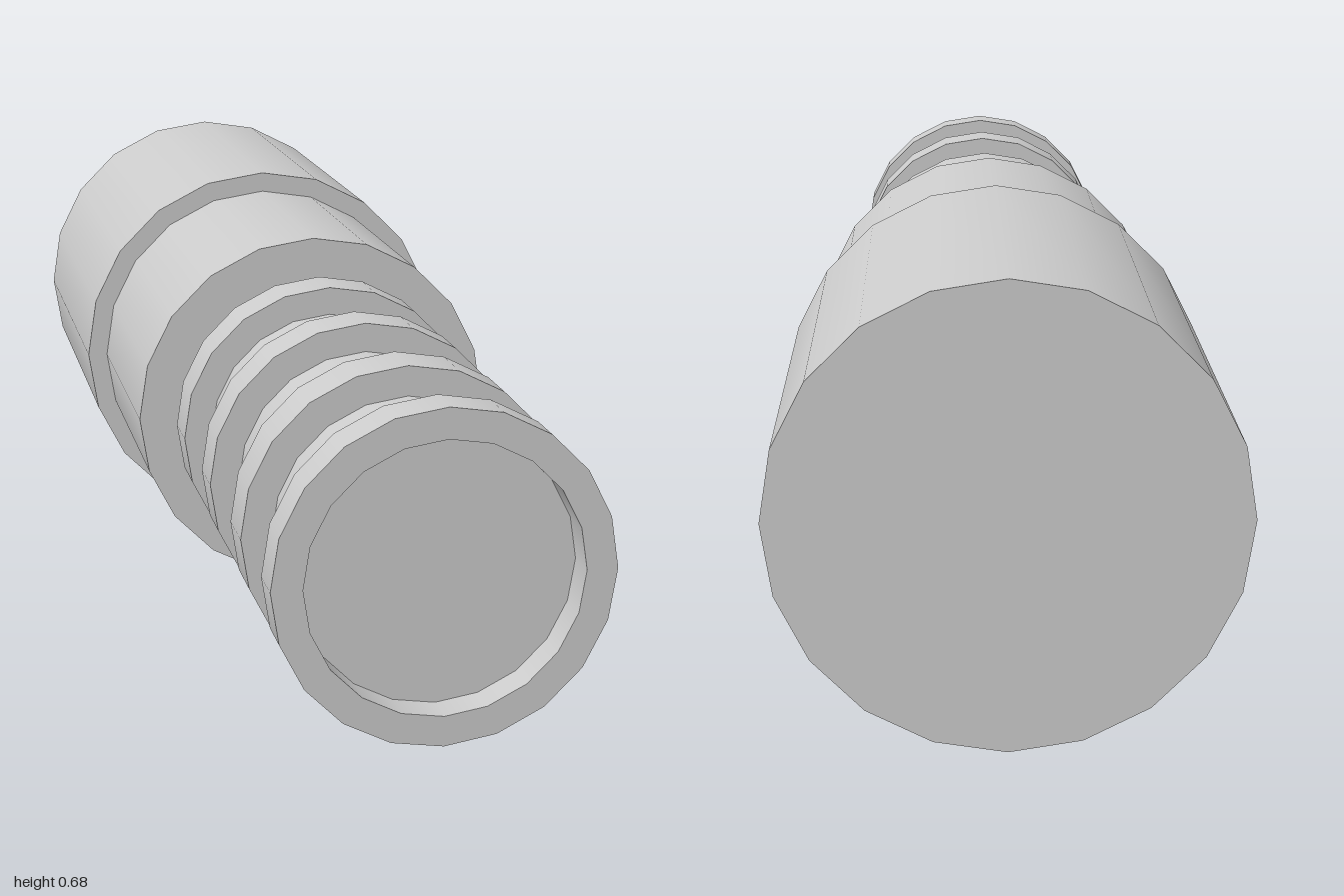
import * as THREE from 'three';
import { mergeGeometries } from 'three/addons/utils/BufferGeometryUtils.js';

const SIDES = 20;
const material = new THREE.MeshStandardMaterial({ color: 0xcccccc });

// Turned part along z: each [radius, z] segment is its own band, so the rims stay
// crisp while the walls shade smoothly. Profiles run from the back outward to the front.
function turned(name, profile) {
  const bands = [];
  for (let i = 0; i < profile.length - 1; i++) {
    const ends = [profile[i], profile[i + 1]].map(([r, z]) => new THREE.Vector2(r, z));
    bands.push(new THREE.LatheGeometry(ends, SIDES));
  }
  const mesh = new THREE.Mesh(mergeGeometries(bands).rotateX(Math.PI / 2), material);
  mesh.name = name;
  return mesh;
}

const solid = (name, r, z0, z1) => turned(name, [[0, z0], [r, z0], [r, z1], [0, z1]]);

const collar = (name, rIn, rOut, z0, z1) =>
  turned(name, [[rIn, z0], [rOut, z0], [rOut, z1], [rIn, z1], [rIn, z0]]);

export function createModel() {
  const model = new THREE.Group();
  const body = new THREE.Group();
  body.name = 'body';

  // Stepped barrel
  body.add(solid('rearBarrel', 0.337, -1, -0.33));
  body.add(solid('middleBarrel', 0.302, -0.33, 0.13));

  // Slim neck, ending just inside the front collar
  body.add(solid('neck', 0.2, 0.13, 0.95));

  // Raised rings on the neck; the last one forms the open lip
  [[0.175, 0.26], [0.435, 0.515], [0.695, 0.778], [0.935, 1]].forEach(([z0, z1], i) => {
    body.add(collar(i < 3 ? `neckRing${i + 1}` : 'frontLip', 0.2, 0.245, z0, z1));
  });

  // The axis rises very slightly toward the front
  body.position.y = 0.34;
  body.rotation.x = -0.003;
  model.add(body);
  return model;
}
